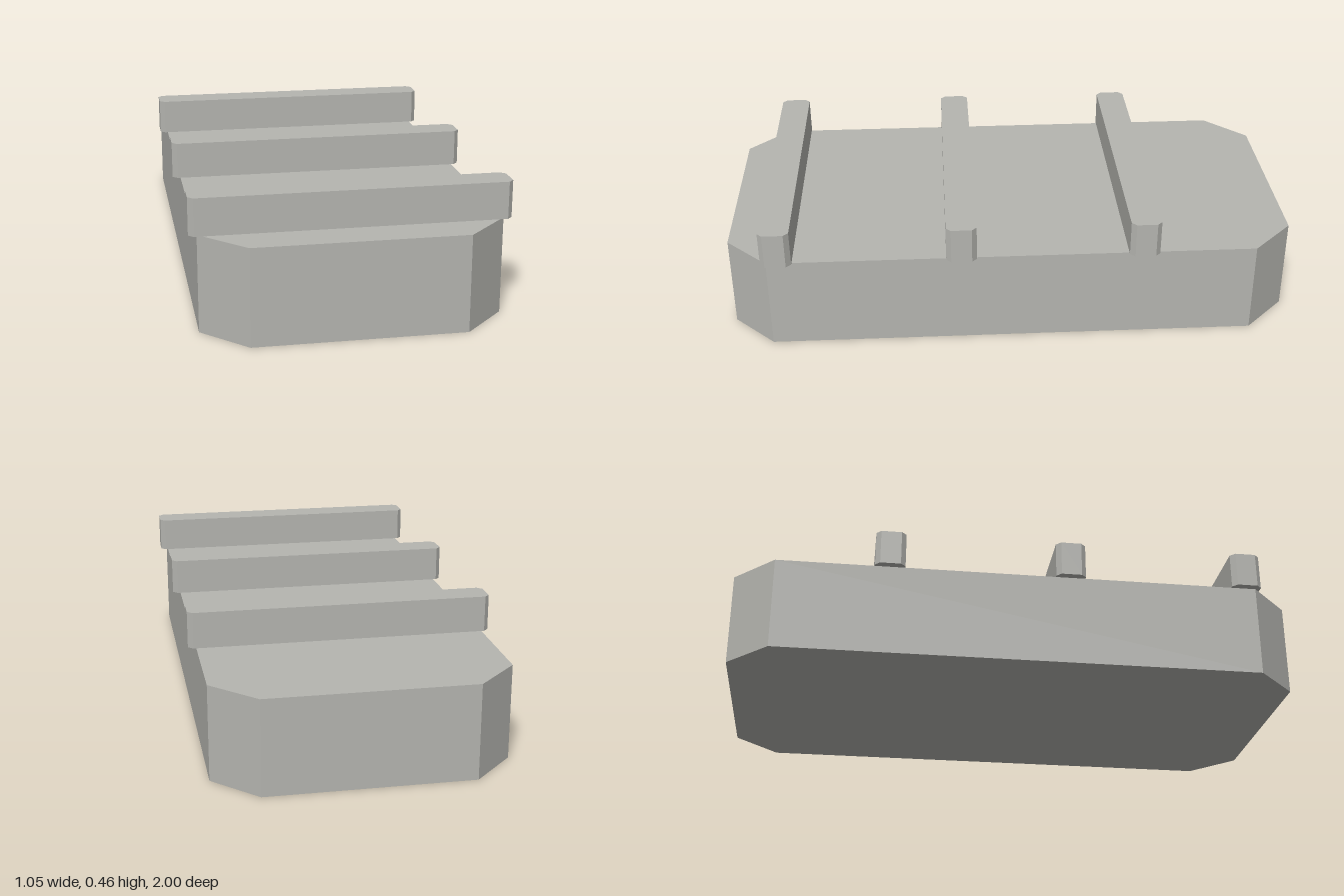
import * as THREE from 'three';

// Upright slab with chamfered corners, standing on y = 0
function chamferedSlab(halfX, halfZ, chamfer, height) {
  const x = halfX, z = halfZ, c = chamfer;
  const outline = new THREE.Shape([
    [x - c, -z], [x, -z + c], [x, z - c], [x - c, z],
    [-x + c, z], [-x, z - c], [-x, -z + c], [-x + c, -z],
  ].map(([px, pz]) => new THREE.Vector2(px, pz)));
  const geometry = new THREE.ExtrudeGeometry(outline, { depth: height, bevelEnabled: false });
  return geometry.rotateX(-Math.PI / 2);
}

export function createModel() {
  const model = new THREE.Group();
  model.name = 'ribbedBlock';
  const stone = new THREE.MeshStandardMaterial({ color: 0xb5b5b0, flatShading: true });
  stone.name = 'warm grey';

  // Main block
  const bodyHeight = 0.33;
  const body = new THREE.Mesh(chamferedSlab(0.5, 1, 0.147, bodyHeight), stone);
  body.name = 'body';
  model.add(body);

  // Three evenly spaced cross bars, slightly wider than the block
  const barGeometry = chamferedSlab(0.527, 0.053, 0.017, 0.126);
  for (let i = 0; i < 3; i++) {
    const bar = new THREE.Mesh(barGeometry, stone);
    bar.name = `crossBar${i + 1}`;
    bar.position.set(0, bodyHeight, 0.817 - i * 0.637);
    model.add(bar);
  }
  return model;
}
